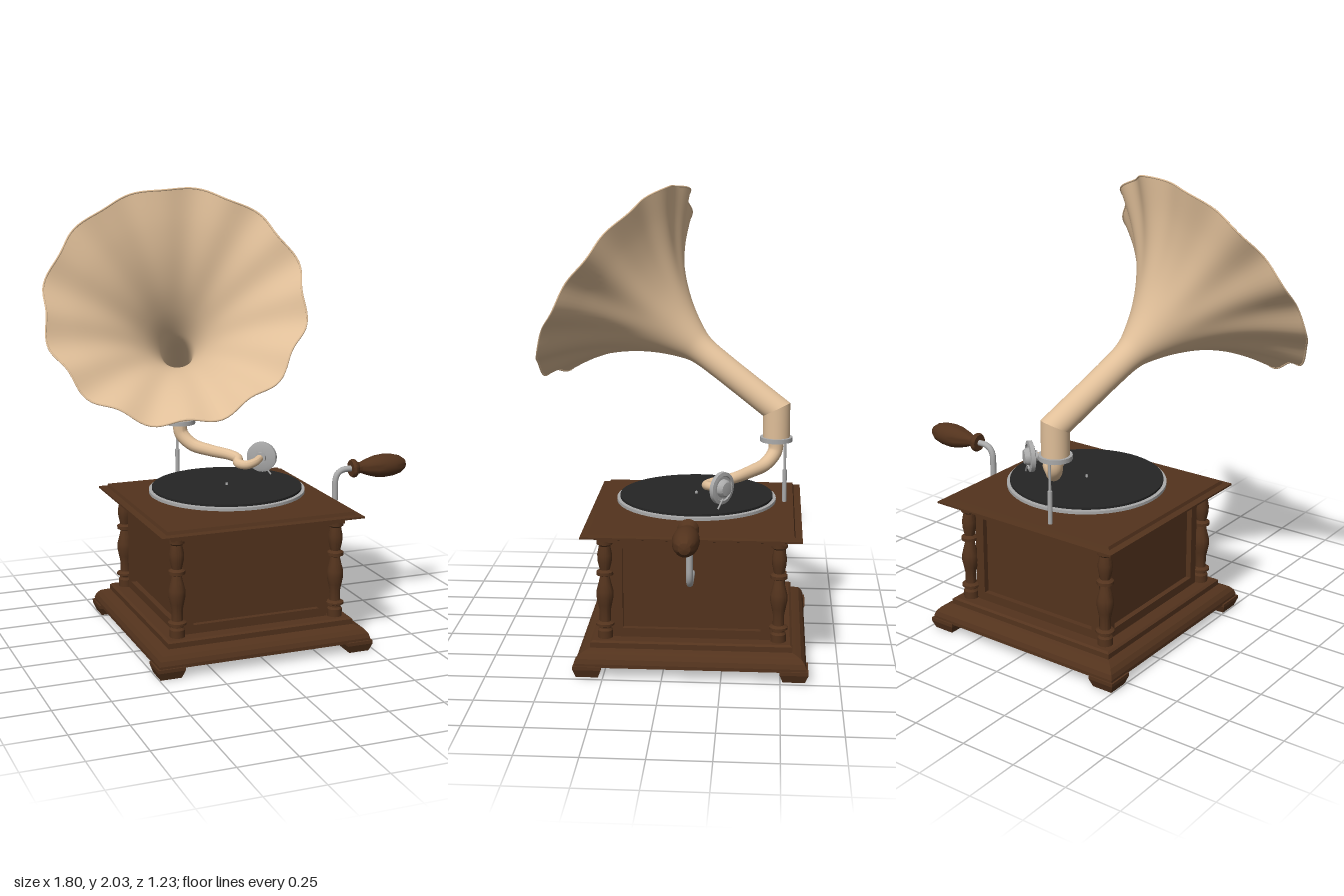
import * as THREE from 'three';
import { toCreasedNormals } from 'three/addons/utils/BufferGeometryUtils.js';

const V = (x, y, z) => new THREE.Vector3(x, y, z);
const mat = (color, extra = {}) => new THREE.MeshStandardMaterial({ color, ...extra });
const WOOD = mat(0x53331d), BLACK = mat(0x252525), METAL = mat(0xaaaaaa);
const CREAM = mat(0xe0bf99), HORN = mat(0xe0bf99, { side: THREE.DoubleSide });
const UP = V(0, 1, 0);

function add(parent, name, geometry, material, x = 0, y = 0, z = 0) {
  const mesh = new THREE.Mesh(geometry, material);
  mesh.name = name;
  mesh.position.set(x, y, z);
  parent.add(mesh);
  return mesh;
}

const points = (list) => list.map(([r, y]) => new THREE.Vector2(r, y));

// Round turned part from [radius, y] pairs
const turned = (list, segments = 32) =>
  toCreasedNormals(new THREE.LatheGeometry(points(list), segments), 0.6);

// Square moulding from [half width, y] pairs
const squareMoulding = (list) => {
  const scaled = list.map(([h, y]) => [h * Math.SQRT2, y]);
  return toCreasedNormals(new THREE.LatheGeometry(points(scaled), 4).rotateY(Math.PI / 4), 0.3);
};

const rod = (r, h) => new THREE.CylinderGeometry(r, r, h, 16);

// Tube whose radius runs from r0 to r1
function taperedTube(curve, n, r0, r1, sides = 16) {
  const g = new THREE.TubeGeometry(curve, n, 1, sides);
  const p = g.attributes.position, v = V(0, 0, 0);
  for (let i = 0; i <= n; i++) {
    const c = curve.getPointAt(i / n);
    const r = r0 + (r1 - r0) * (i / n);
    for (let j = 0; j <= sides; j++) {
      const k = i * (sides + 1) + j;
      v.fromBufferAttribute(p, k).sub(c).multiplyScalar(r).add(c);
      p.setXYZ(k, v.x, v.y, v.z);
    }
  }
  g.computeVertexNormals();
  return g;
}

function makeCabinet() {
  const cabinet = new THREE.Group();
  cabinet.name = 'cabinet';
  add(cabinet, 'baseMoulding', squareMoulding([[0, 0.045], [0.49, 0.045], [0.49, 0.06], [0.483, 0.08],
    [0.468, 0.098], [0.445, 0.108], [0.43, 0.112], [0.43, 0.135], [0.42, 0.142], [0, 0.142]]), WOOD);
  add(cabinet, 'core', new THREE.BoxGeometry(0.68, 0.46, 0.68), WOOD, 0, 0.36, 0);
  add(cabinet, 'lid', squareMoulding([[0, 0.57], [0.4, 0.57], [0.4, 0.585], [0.43, 0.592], [0.465, 0.603],
    [0.465, 0.611], [0.435, 0.614], [0.43, 0.628], [0, 0.628]]), WOOD);

  // Framed panel on each side
  const frame = new THREE.Shape(points([[-0.335, 0.14], [0.335, 0.14], [0.335, 0.58], [-0.335, 0.58]]));
  frame.holes.push(new THREE.Path(points([[-0.295, 0.18], [-0.295, 0.535], [0.295, 0.535], [0.295, 0.18]])));
  const frameGeometry = new THREE.ExtrudeGeometry(frame, { depth: 0.035, bevelEnabled: false });
  frameGeometry.translate(0, 0, 0.33);
  for (let i = 0; i < 4; i++) {
    add(cabinet, 'panelFrame', frameGeometry, WOOD).rotation.y = i * Math.PI / 2;
  }

  // Turned columns and feet at the corners
  const column = turned([[0, 0.14], [0.033, 0.14], [0.033, 0.175], [0.026, 0.185], [0.026, 0.192],
    [0.04, 0.198], [0.04, 0.207], [0.024, 0.215], [0.024, 0.26], [0.03, 0.29], [0.037, 0.325],
    [0.036, 0.35], [0.027, 0.385], [0.02, 0.415], [0.036, 0.422], [0.036, 0.436], [0.022, 0.445],
    [0.03, 0.48], [0.032, 0.51], [0.024, 0.55], [0.034, 0.558], [0.034, 0.575]], 20);
  const foot = squareMoulding([[0, 0], [0.047, 0], [0.06, 0.035], [0.06, 0.05], [0, 0.05]]);
  for (const sx of [-1, 1]) {
    for (const sz of [-1, 1]) {
      add(cabinet, 'column', column, WOOD, sx * 0.37, 0, sz * 0.37);
      add(cabinet, 'foot', foot, WOOD, sx * 0.438, 0, sz * 0.438);
    }
  }
  return cabinet;
}

function makeTurntable() {
  const table = new THREE.Group();
  table.name = 'turntable';
  add(table, 'hub', new THREE.CylinderGeometry(0.14, 0.14, 0.035, 48), METAL, 0, 0.643, 0);
  add(table, 'platter', new THREE.CylinderGeometry(0.352, 0.352, 0.013, 64), METAL, 0, 0.666, 0);
  add(table, 'record', new THREE.CylinderGeometry(0.338, 0.338, 0.01, 64), BLACK, 0, 0.68, 0);
  add(table, 'spindle', rod(0.006, 0.03), METAL, 0, 0.68, 0);
  return table;
}

function makeCrank() {
  const crank = new THREE.Group();
  crank.name = 'crank';
  const path = new THREE.CurvePath();
  const line = (a, b) => path.add(new THREE.LineCurve3(a, b));
  const bend = (a, b, c) => path.add(new THREE.QuadraticBezierCurve3(a, b, c));
  line(V(0.35, 0.43, 0), V(0.48, 0.43, 0));
  bend(V(0.48, 0.43, 0), V(0.54, 0.43, 0), V(0.54, 0.5, 0));
  line(V(0.54, 0.5, 0), V(0.54, 0.64, 0));
  bend(V(0.54, 0.64, 0), V(0.54, 0.705, 0), V(0.6, 0.705, 0));
  line(V(0.6, 0.705, 0), V(0.65, 0.705, 0));
  add(crank, 'crankRod', new THREE.TubeGeometry(path, 60, 0.014, 14), METAL);
  const handle = turned([[0, 0], [0.038, 0], [0.044, 0.01], [0.042, 0.02], [0.028, 0.035], [0.026, 0.05],
    [0.038, 0.08], [0.051, 0.125], [0.055, 0.165], [0.052, 0.21], [0.042, 0.25], [0.024, 0.276], [0, 0.284]]);
  add(crank, 'crankHandle', handle.rotateZ(-Math.PI / 2), WOOD, 0.62, 0.705, 0);
  return crank;
}

function makeHorn() {
  const horn = new THREE.Group();
  horn.name = 'horn';
  const elbow = V(-0.11, 1.05, -0.47);
  const axis = V(-0.29, 0.555, 0.78).normalize();
  const turn = new THREE.Quaternion().setFromUnitVectors(UP, axis);
  const mitre = axis.clone().add(UP).normalize();
  const mitreLocal = mitre.clone().applyQuaternion(turn.clone().invert());
  const cut = (x, z, m) => -(x * m.x + z * m.z) / m.y;

  // Upright pipe with a mitred top
  const pipe = new THREE.LatheGeometry(points([[0.06, -0.14], [0.06, 0]]), 40);
  const pp = pipe.attributes.position;
  for (let i = 0; i < pp.count; i++) {
    if (pp.getY(i) > -0.01) pp.setY(i, cut(pp.getX(i), pp.getZ(i), mitre));
  }
  add(horn, 'uprightPipe', pipe, HORN).position.copy(elbow);

  // Flared bell, mitred at the pipe end and scalloped towards the rim
  const profile = new THREE.SplineCurve(points([[0.06, 0.1], [0.06, 0.2], [0.061, 0.33], [0.066, 0.43],
    [0.088, 0.5], [0.138, 0.6], [0.207, 0.7], [0.297, 0.795], [0.405, 0.88], [0.53, 0.957]]));
  const bell = new THREE.LatheGeometry([new THREE.Vector2(0.06, 0), ...profile.getPoints(44)], 144);
  const bp = bell.attributes.position;
  const rim = [];
  for (let i = 0; i < bp.count; i++) {
    const x = bp.getX(i), y = bp.getY(i), z = bp.getZ(i);
    if (y < 0.01) {
      bp.setY(i, cut(x, z, mitreLocal));
      continue;
    }
    const wave = Math.cos(12 * Math.atan2(z, x)) * Math.max(0, (y - 0.6) / 0.357) ** 2;
    const s = 1 + 0.022 * wave;
    bp.setXYZ(i, x * s, y - 0.01 * wave, z * s);
    if (y > 0.956) rim.push(V(x * s, y - 0.01 * wave, z * s));
  }
  bell.computeVertexNormals();
  const bellMesh = add(horn, 'bell', bell, HORN);
  rim.pop();
  const rimCurve = new THREE.CatmullRomCurve3(rim, true);
  const rimMesh = add(horn, 'rolledRim', new THREE.TubeGeometry(rimCurve, 144, 0.004, 6, true), CREAM);
  for (const mesh of [bellMesh, rimMesh]) {
    mesh.position.copy(elbow);
    mesh.quaternion.copy(turn);
  }

  add(horn, 'collar', new THREE.CylinderGeometry(0.072, 0.072, 0.02, 40), METAL, -0.11, 0.917, -0.47);
  add(horn, 'supportRod', rod(0.006, 0.3), METAL, -0.11, 0.77, -0.51);
  add(horn, 'supportSleeve', rod(0.01, 0.15), METAL, -0.11, 0.7, -0.51);
  return horn;
}

function makeToneArm() {
  const arm = new THREE.Group();
  arm.name = 'toneArm';
  const path = new THREE.CatmullRomCurve3([V(-0.11, 0.92, -0.47), V(-0.105, 0.86, -0.465),
    V(-0.065, 0.812, -0.425), V(0, 0.792, -0.36), V(0.07, 0.78, -0.29), V(0.09, 0.772, -0.24),
    V(0.077, 0.76, -0.2), V(0.105, 0.756, -0.17), V(0.15, 0.762, -0.18), V(0.2, 0.77, -0.23)]);
  add(arm, 'armTube', taperedTube(path, 70, 0.034, 0.017), CREAM);

  // Round sound box facing away from the arm end
  const box = turned([[0, -0.03], [0.025, -0.03], [0.025, -0.016], [0.055, -0.014], [0.07, -0.009],
    [0.07, 0.009], [0.055, 0.012], [0.052, 0.006], [0.04, 0.006], [0.038, 0.02], [0.03, 0.03], [0, 0.034]]);
  const soundBox = add(arm, 'soundBox', box, METAL, 0.21, 0.77, -0.24);
  soundBox.quaternion.setFromUnitVectors(UP, V(0.62, 0, -0.78).normalize());
  const needle = new THREE.LineCurve3(V(0.225, 0.725, -0.245), V(0.25, 0.686, -0.225));
  add(arm, 'needle', new THREE.TubeGeometry(needle, 1, 0.004, 8), METAL);
  return arm;
}

export function createModel() {
  const model = new THREE.Group();
  model.name = 'gramophone';
  for (const part of [makeCabinet(), makeTurntable(), makeCrank()]) {
    part.position.set(-0.01, 0, -0.12);
    model.add(part);
  }
  model.add(makeHorn(), makeToneArm());
  return model;
}
